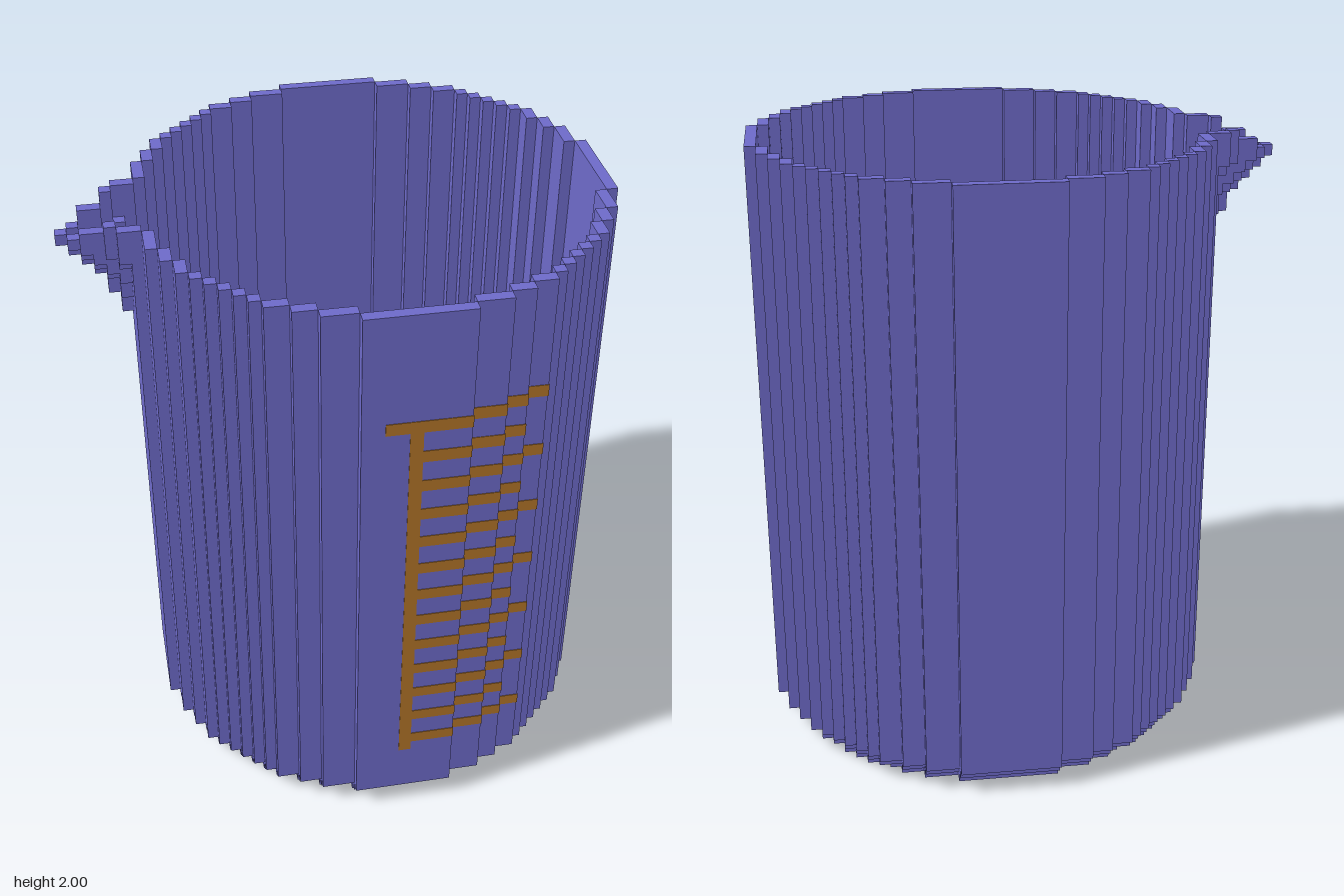
import * as THREE from 'three';
import { mergeGeometries } from 'three/addons/utils/BufferGeometryUtils.js';

const V = 2 / 55;   // size of one block
const CX = 3;       // column of the vessel's axis

const glass = new THREE.MeshStandardMaterial({ color: 0x6d6ac8 });
glass.name = 'violet glass';
const ink = new THREE.MeshStandardMaterial({ color: 0xb07428 });
ink.name = 'orange marking';

// Box covering columns x0..x1, layers y0..y1 and rows z0..z1, all inclusive
function block(x0, x1, y0, y1, z0, z1, grow = 0) {
  const g = new THREE.BoxGeometry(
    (x1 - x0 + 1) * V + grow, (y1 - y0 + 1) * V + grow, (z1 - z0 + 1) * V + grow);
  return g.translate((x0 + x1) / 2 * V, (y0 + y1 + 1) / 2 * V, (z0 + z1) / 2 * V);
}

// Half width in blocks of a stepped disc at row k, or -1 outside it
const half = (r, k) => (Math.abs(k) > r ? -1 : Math.floor(Math.sqrt(r * r - k * k)));

// Stepped ring, one run of blocks per row; leftTop may lower the left side
function ring(outer, inner, y0, y1, leftTop = () => y1) {
  const parts = [];
  const n = Math.floor(outer);
  for (let k = -n; k <= n; k++) {
    const o = half(outer, k), i = half(inner, k);
    if (i < 0) {
      parts.push(block(CX - o, CX + o, y0, y1, k, k));
    } else {
      parts.push(block(CX + i + 1, CX + o, y0, y1, k, k));
      parts.push(block(CX - o, CX - i - 1, y0, leftTop(k), k, k));
    }
  }
  return parts;
}

export function createModel() {
  const group = new THREE.Group();
  const add = (name, parts, material) => {
    const mesh = new THREE.Mesh(mergeGeometries(parts), material);
    mesh.name = name;
    group.add(mesh);
  };

  // Floor and the two steps of the rounded base
  add('floor', ring(18.5, 0, 0, 0).concat(block(CX, CX, 0, 0, 0, 0)), glass);
  add('baseRing', ring(19.5, 18.5, 1, 1), glass);

  // Thin wall, cut open in a V where the spout joins it
  const notch = [44, 46, 49, 50];
  add('wall', ring(20.5, 19.5, 2, 54, (k) => notch[Math.abs(k)] ?? 54), glass);

  // Spout: V-shaped shell whose tip moves outward with each layer
  const width = [0, 1, 2, 2, 3, 4];
  const tips = { 45: -18, 46: -18, 47: -19, 48: -19, 49: -20, 50: -21, 51: -22, 52: -23, 53: -23, 54: -23 };
  const firstColumn = { 53: -21, 54: -19 };   // the lip dips towards its tip
  const spout = [];
  for (const [layer, tip] of Object.entries(tips)) {
    const y = Number(layer);
    for (let x = firstColumn[y] ?? tip; x <= -18; x++) {
      const w = width[x - tip];
      spout.push(block(x, x, y, y, w, w));
      if (w > 0) spout.push(block(x, x, y, y, -w, -w));
    }
  }
  add('spout', spout, glass);

  // Measuring scale, following the steps of the wall and showing on both sides
  const marks = [];
  const mark = (x, y0, y1) => {
    const z = half(20.5, x - CX);
    marks.push(block(x, x, y0, y1, z, z, 0.004));
  };
  mark(CX, 7, 44);
  for (let y = 8; y <= 44; y += 3) {
    const end = y % 2 === 0 ? 14 : 12;
    for (let x = y === 44 ? 1 : CX + 1; x <= end; x++) mark(x, y, y);
  }
  add('measuringScale', marks, ink);

  return group;
}
